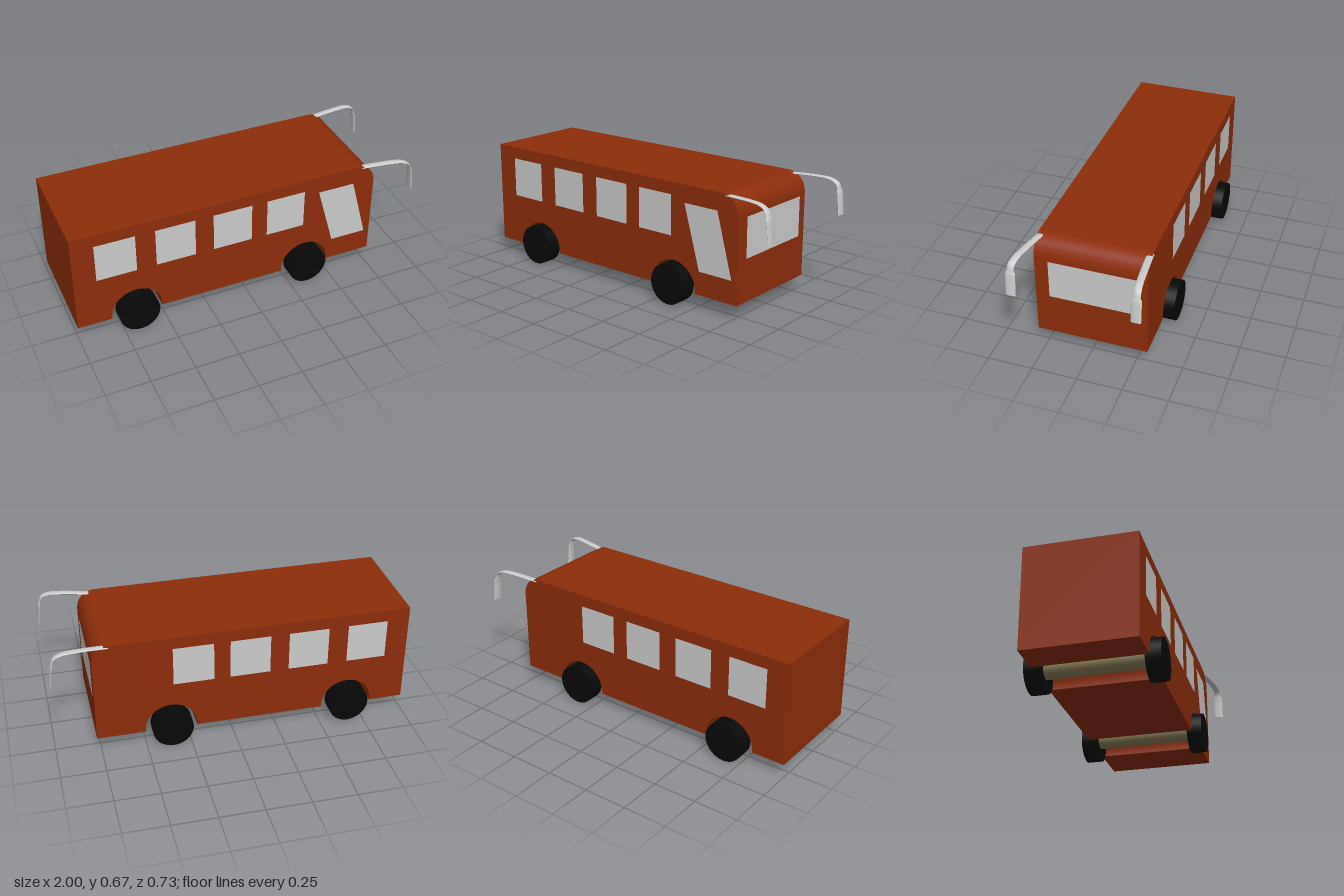
import * as THREE from 'three';
import { toCreasedNormals } from 'three/addons/utils/BufferGeometryUtils.js';

const material = (color) => new THREE.MeshStandardMaterial({ color });
const paint = material(0x8d2d0a);
const glass = material(0xcccccc);
const rubber = material(0x080808);
const axleMetal = material(0x8a7f58);
const mirrorMetal = new THREE.MeshStandardMaterial({ color: 0xcccccc, side: THREE.DoubleSide });

const Z_LEFT = 0.302, Z_RIGHT = -0.312; // flanks of the body
const AXLES = [-0.661, 0.354];

export function createModel() {
  const group = new THREE.Group();
  const add = (name, geometry, mat, x = 0, y = 0, z = 0) => {
    const mesh = new THREE.Mesh(geometry, mat);
    mesh.name = name;
    mesh.position.set(x, y, z);
    group.add(mesh);
    return mesh;
  };

  // Body: side profile with wheel arches and a rounded upper front edge
  const bottom = 0.08, archY = 0.094, archR = 0.145;
  const dip = Math.asin((archY - bottom) / archR);
  const profile = new THREE.Shape();
  profile.moveTo(-1, 0.669);
  profile.lineTo(-1, bottom);
  for (const x of AXLES) profile.absarc(x, archY, archR, Math.PI + dip, -dip, true);
  profile.lineTo(0.772, bottom);
  profile.lineTo(0.772, 0.55);
  profile.bezierCurveTo(0.772, 0.615, 0.735, 0.669, 0.66, 0.669);
  profile.closePath();
  const body = new THREE.ExtrudeGeometry(profile, {
    depth: Z_LEFT - Z_RIGHT, bevelEnabled: false, curveSegments: 20,
  });
  add('body', toCreasedNormals(body, 0.6), paint, 0, 0, Z_RIGHT);

  // Side windows, flush with both flanks
  for (const x of [-0.761, -0.424, -0.093, 0.224]) {
    const pane = new THREE.PlaneGeometry(0.226, 0.228);
    add('leftWindow', pane, glass, x, 0.487, Z_LEFT + 0.002);
    add('rightWindow', pane, glass, x, 0.487, Z_RIGHT - 0.002).rotation.y = Math.PI;
  }

  // Slanted door on one flank only
  const door = new THREE.Shape([
    new THREE.Vector2(0.527, 0.213), new THREE.Vector2(0.738, 0.213),
    new THREE.Vector2(0.641, 0.571), new THREE.Vector2(0.426, 0.571),
  ]);
  add('door', new THREE.ShapeGeometry(door), glass, 0, 0, Z_LEFT + 0.002);

  // Windscreen
  add('windscreen', new THREE.PlaneGeometry(0.486, 0.227), glass, 0.774, 0.433, -0.017)
    .rotation.y = Math.PI / 2;

  // Wheels and axles
  const wheel = new THREE.CylinderGeometry(0.114, 0.114, 0.085, 40).rotateX(Math.PI / 2);
  const axle = new THREE.CylinderGeometry(0.052, 0.052, 0.6, 24).rotateX(Math.PI / 2);
  for (const x of AXLES) {
    add('axle', axle, axleMetal, x, 0.127, -0.005);
    add('leftWheel', wheel, rubber, x, 0.114, 0.312);
    add('rightWheel', wheel, rubber, x, 0.114, -0.323);
  }

  // Mirrors: curved flattened arms that widen into hanging mirror heads
  add('leftMirror', mirrorGeometry(0.282, 0.337), mirrorMetal);
  add('rightMirror', mirrorGeometry(-0.298, -0.323), mirrorMetal);
  return group;
}

// Lofts ellipses along the arm path; z runs from zStart to zEnd
function mirrorGeometry(zStart, zEnd) {
  const path = new THREE.CatmullRomCurve3([
    [0.68, 0.656], [0.76, 0.661], [0.86, 0.664], [0.925, 0.66], [0.964, 0.642],
    [0.98, 0.603], [0.988, 0.54], [0.994, 0.472],
  ].map(([x, y]) => {
    const t = Math.min(1, (x - 0.68) / 0.29);
    return new THREE.Vector3(x, y, zStart + (zEnd - zStart) * t);
  }));
  const rings = 60, sides = 16, positions = [], index = [];
  for (let i = 0; i <= rings; i++) {
    const p = path.getPoint(i / rings);
    const tangent = path.getTangent(i / rings);
    const across = new THREE.Vector3(0, 0, 1).addScaledVector(tangent, -tangent.z).normalize();
    const normal = new THREE.Vector3().crossVectors(tangent, across);
    const head = p.x > 0.9 ? THREE.MathUtils.smoothstep(-p.y, -0.612, -0.602) : 0;
    const halfWidth = 0.019 + 0.0085 * head;
    const halfThick = 0.005 + 0.001 * head;
    for (let j = 0; j < sides; j++) {
      const a = (j / sides) * Math.PI * 2;
      const q = p.clone().addScaledVector(across, Math.cos(a) * halfWidth)
        .addScaledVector(normal, Math.sin(a) * halfThick);
      positions.push(q.x, q.y, q.z);
      if (i < rings) {
        const k = i * sides + j, n = i * sides + (j + 1) % sides;
        index.push(k, k + sides, n, n, k + sides, n + sides);
      }
    }
  }
  // End caps
  for (let j = 1; j < sides - 1; j++) {
    const e = rings * sides;
    index.push(0, j, j + 1, e, e + j + 1, e + j);
  }
  const geometry = new THREE.BufferGeometry();
  geometry.setAttribute('position', new THREE.Float32BufferAttribute(positions, 3));
  geometry.setIndex(index);
  return toCreasedNormals(geometry, 0.9);
}
